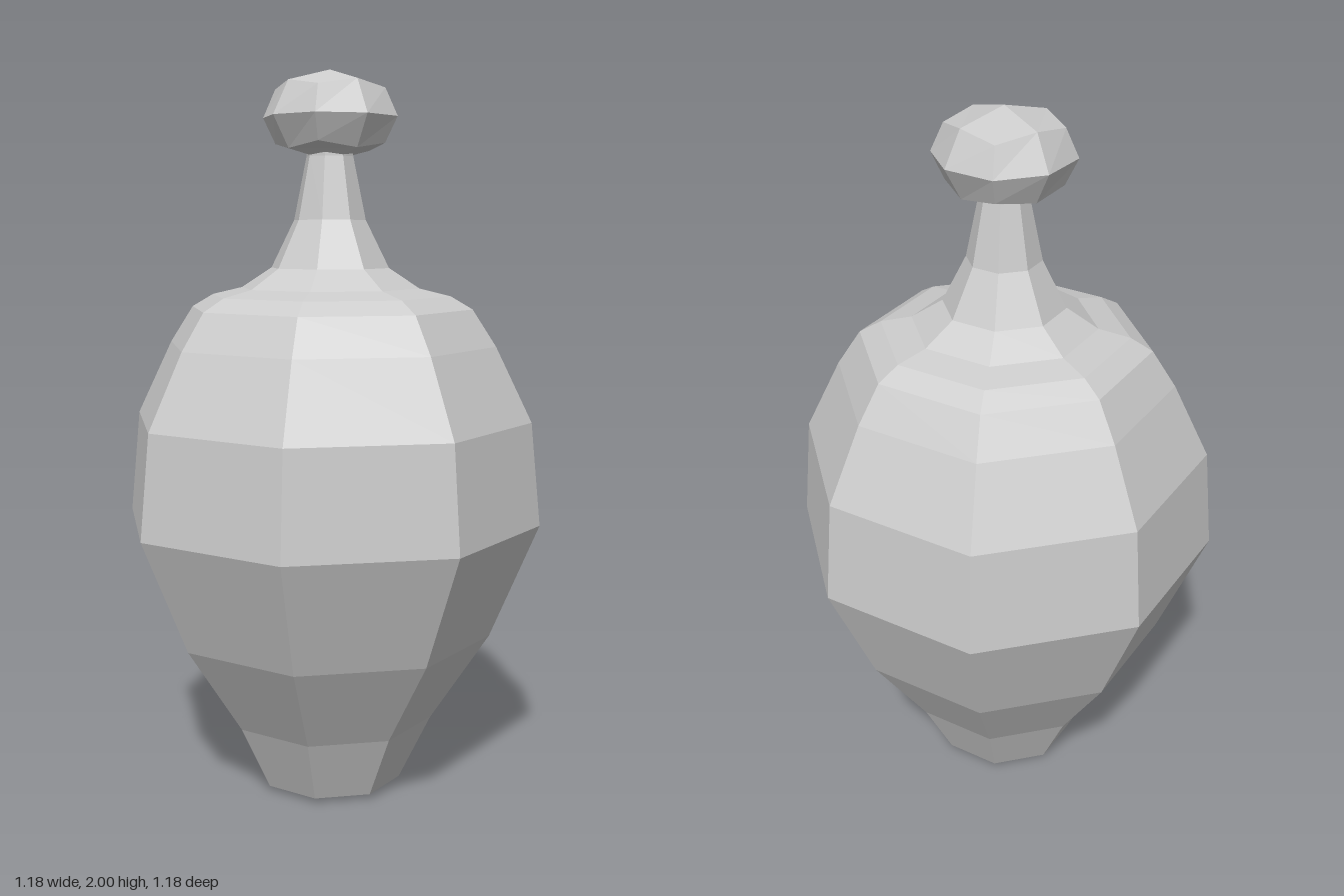
import * as THREE from 'three';

const material = new THREE.MeshStandardMaterial({ color: 0xcccccc, flatShading: true });

// Radius and height pairs, from the foot up to the neck
const PROFILE = [
  [0, 0], [0.17, 0.003], [0.203, 0.015], [0.292, 0.2], [0.455, 0.45],
  [0.588, 0.77], [0.56, 1.055], [0.46, 1.26], [0.395, 1.36], [0.335, 1.395],
  [0.25, 1.415], [0.165, 1.47], [0.1, 1.6], [0.065, 1.77], [0.06, 1.85],
];

// Eight-sided turned body
function createBody() {
  const points = PROFILE.map(([r, y]) => new THREE.Vector2(r, y));
  const body = new THREE.Mesh(new THREE.LatheGeometry(points, 8), material);
  body.name = 'body';
  return body;
}

// Knob: a subdivided cube rounded into a flattened ball
function createKnob() {
  const geometry = new THREE.BoxGeometry(2, 2, 2, 2, 2, 2);
  const position = geometry.attributes.position;
  const v = new THREE.Vector3();
  for (let i = 0; i < position.count; i++) {
    v.fromBufferAttribute(position, i);
    const bulge = v.lengthSq() > 1.5 ? 1.04 : 1;
    v.normalize().multiplyScalar(bulge);
    position.setXYZ(i, v.x * 0.179, v.y * (v.y > 0 ? 0.125 : 0.117), v.z * 0.179);
  }
  geometry.computeVertexNormals();
  const knob = new THREE.Mesh(geometry, material);
  knob.name = 'knob';
  knob.position.y = 1.875;
  return knob;
}

export function createModel() {
  const group = new THREE.Group();
  group.name = 'stopperedVase';
  group.add(createBody(), createKnob());
  return group;
}
